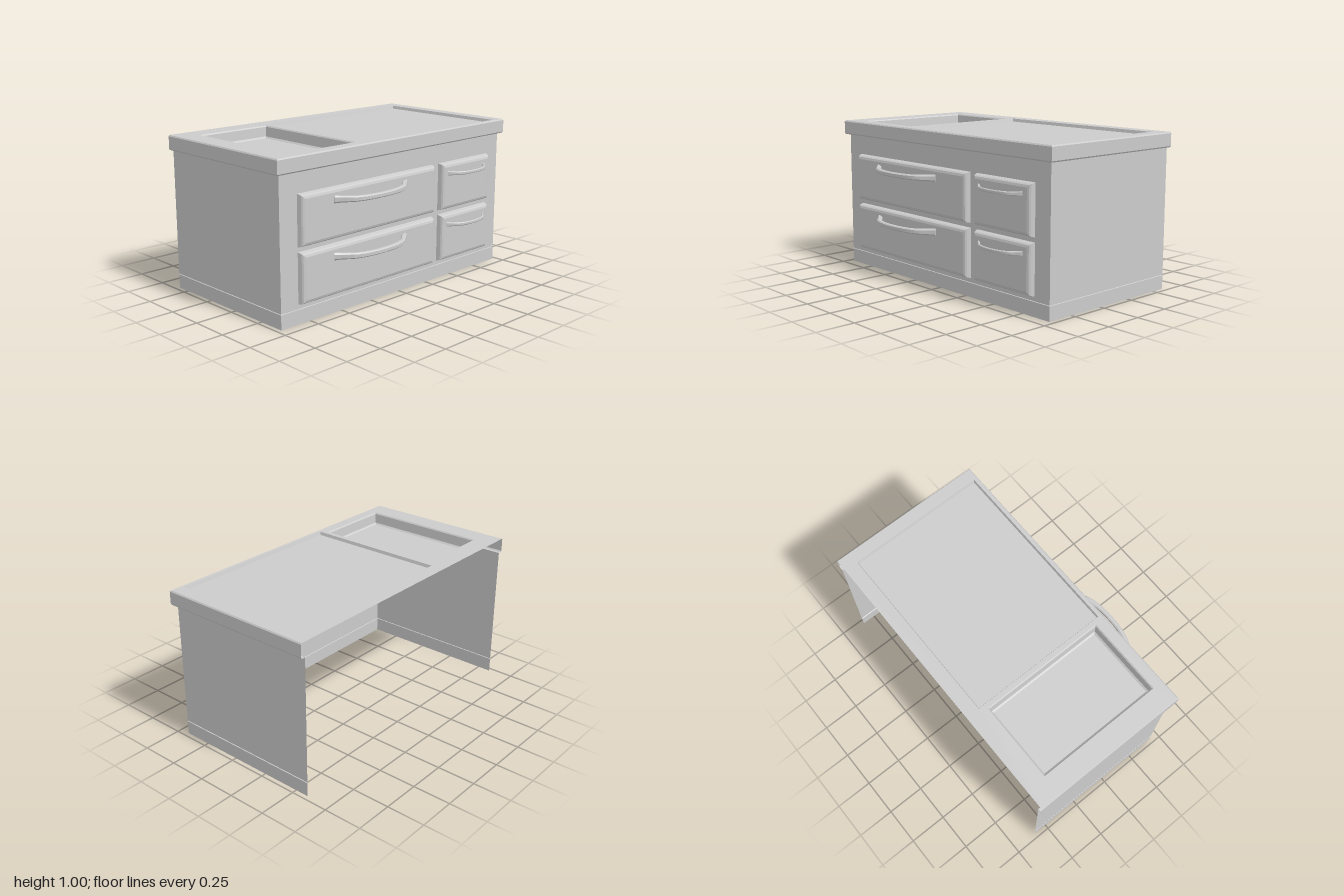
import * as THREE from 'three';
import { toCreasedNormals } from 'three/addons/utils/BufferGeometryUtils.js';

const material = new THREE.MeshStandardMaterial({ color: 0xcccccc, side: THREE.DoubleSide });
const BACK = -0.59;

// Skin a list of equal-length rings; optionally close them and cap the ends.
function loft(rings, { closed = true, capStart = false, capEnd = false, crease = 0.3 } = {}) {
  const n = rings[0].length;
  const pos = rings.flat(2);
  const index = [];
  for (let r = 0; r < rings.length - 1; r++) {
    for (let i = 0; i < (closed ? n : n - 1); i++) {
      const j = (i + 1) % n;
      const a = r * n + i, b = r * n + j, c = b + n, d = a + n;
      index.push(a, b, c, a, c, d);
    }
  }
  const last = (rings.length - 1) * n;
  for (let i = 1; i < n - 1; i++) {
    if (capStart) index.push(0, i + 1, i);
    if (capEnd) index.push(last, last + i, last + i + 1);
  }
  const geo = new THREE.BufferGeometry();
  geo.setAttribute('position', new THREE.Float32BufferAttribute(pos, 3));
  geo.setIndex(index);
  return toCreasedNormals(geo, crease);
}

function part(parent, name, geometry) {
  const mesh = new THREE.Mesh(geometry, material);
  mesh.name = name;
  parent.add(mesh);
  return mesh;
}

// Left side, front and right side at one height, open at the back
const uRing = (y, hx, zf) => [[-hx, y, BACK], [-hx, y, zf], [hx, y, zf], [hx, y, BACK]];

// Horizontal rectangle
const flatRect = ([x0, x1, z0, z1], y, d = 0) => [
  [x0 + d, y, z0 + d], [x0 + d, y, z1 - d], [x1 - d, y, z1 - d], [x1 - d, y, z0 + d]];

// Upright rectangle facing +z
const frontRect = ([x0, x1, y0, y1], z, d) => [
  [x0 + d, y0 + d, z], [x1 - d, y0 + d, z], [x1 - d, y1 - d, z], [x0 + d, y1 - d, z]];

function rectPath(PathType, [x0, x1, z0, z1]) {
  return new PathType([[x0, z0], [x1, z0], [x1, z1], [x0, z1]]
    .map(([x, z]) => new THREE.Vector2(x, -z)));
}

// Bowed handle with flared ends, lofted along a curve
function handleGeometry(half, depth, endHeight, midHeight, thickness) {
  const bow = [[-1, -0.04], [-0.88, 0.2], [-0.66, 0.7], [-0.32, 0.95], [0, 1],
    [0.32, 0.95], [0.66, 0.7], [0.88, 0.2], [1, -0.04]];
  const curve = new THREE.CatmullRomCurve3(
    bow.map(([u, w]) => new THREE.Vector3(u * half, 0, w * depth)));
  const section = [[1, -0.5], [1, 0.5], [0.6, 1], [-0.6, 1],
    [-1, 0.5], [-1, -0.5], [-0.6, -1], [0.6, -1]];
  const rings = [];
  const steps = 16;
  for (let s = 0; s <= steps; s++) {
    const p = curve.getPoint(s / steps);
    const t = curve.getTangent(s / steps);
    const k = Math.abs(s / steps * 2 - 1) ** 2;
    const h = THREE.MathUtils.lerp(midHeight, endHeight, k) / 2;
    rings.push(section.map(([a, b]) => [
      p.x - t.z * b * thickness / 2, a * h, p.z + t.x * b * thickness / 2]));
  }
  return loft(rings, { capStart: true, capEnd: true, crease: 0.6 });
}

export function createModel() {
  const model = new THREE.Group();
  model.name = 'drawerCounter';

  // Cabinet shell with a fine groove above the plinth
  part(model, 'cabinetShell', loft([
    uRing(0, 0.97, 0.43), uRing(0.09, 0.97, 0.43), uRing(0.092, 0.965, 0.425),
    uRing(0.097, 0.965, 0.425), uRing(0.099, 0.97, 0.43), uRing(0.905, 0.97, 0.43),
  ], { closed: false }));

  // Counter: overhanging lip, top sheet with two openings
  const counter = new THREE.Group();
  counter.name = 'counter';
  model.add(counter);
  part(counter, 'counterLip', loft([
    uRing(0.905, 0.97, 0.43), uRing(0.905, 0.994, 0.45), uRing(0.913, 1, 0.457),
    uRing(0.992, 1, 0.457), uRing(1, 0.994, 0.45),
  ], { closed: false }));

  const basin = [-0.86, -0.338, -0.457, 0.382];
  const panel = [-0.308, 0.912, -0.5, 0.427];
  const sheet = rectPath(THREE.Shape, [-0.994, 0.994, BACK, 0.45]);
  sheet.holes.push(rectPath(THREE.Path, basin), rectPath(THREE.Path, panel));
  const top = new THREE.ShapeGeometry(sheet);
  top.rotateX(-Math.PI / 2);
  top.translate(0, 1, 0);
  part(counter, 'counterTop', top);

  // Deep basin and shallow work surface
  part(counter, 'basin', loft([
    flatRect(basin, 1), flatRect(basin, 0.992, 0.007),
    flatRect(basin, 0.93, 0.013), flatRect(basin, 0.92, 0.024),
  ], { capEnd: true }));
  part(counter, 'recessedPanel', loft([
    flatRect(panel, 1), flatRect(panel, 0.98, 0.006),
  ], { capEnd: true }));

  // Two columns of drawers, two rows each
  const columns = [
    { name: 'wide', x: [-0.84, 0.3], handleX: -0.29,
      handle: handleGeometry(0.3, 0.105, 0.046, 0.03, 0.03) },
    { name: 'narrow', x: [0.36, 0.85], handleX: 0.6,
      handle: handleGeometry(0.187, 0.07, 0.03, 0.02, 0.014) },
  ];
  const rows = [
    { name: 'Lower', y: [0.122, 0.436], handleY: 0.367 },
    { name: 'Upper', y: [0.465, 0.778], handleY: 0.71 },
  ];
  for (const col of columns) {
    for (const row of rows) {
      const drawer = new THREE.Group();
      drawer.name = `${col.name}${row.name}Drawer`;
      model.add(drawer);
      const rect = [...col.x, ...row.y];
      part(drawer, 'drawerFront', loft([
        frontRect(rect, 0.43, 0), frontRect(rect, 0.456, 0.007),
        frontRect(rect, 0.465, 0.014), frontRect(rect, 0.47, 0.028),
      ], { capEnd: true }));
      part(drawer, 'handle', col.handle).position.set(col.handleX, row.handleY, 0.47);
    }
  }
  return model;
}
